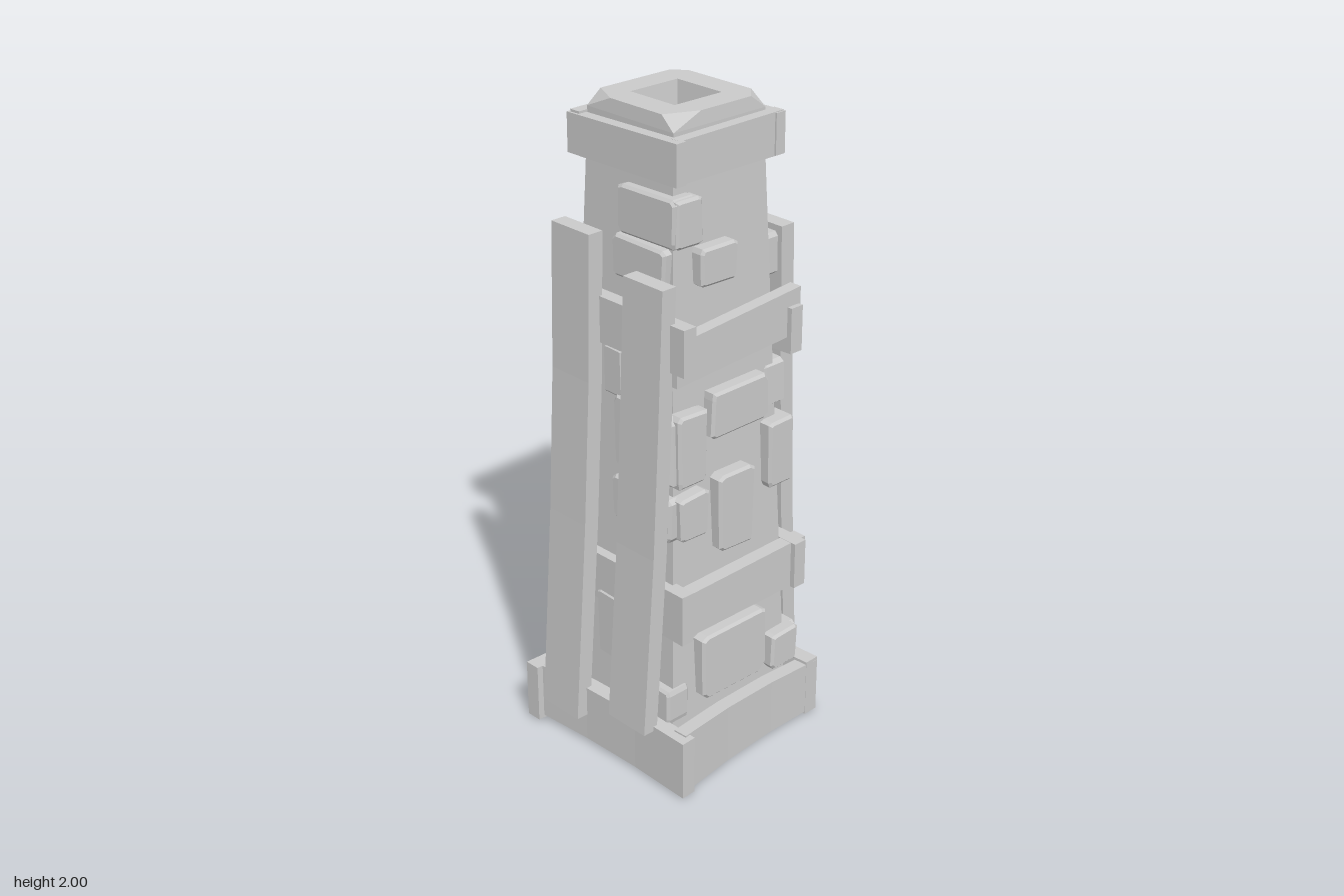
import * as THREE from 'three';

const stone = new THREE.MeshStandardMaterial({ color: 0xcacaca, flatShading: true });
stone.name = 'grey stone';

let seed = 7;
const rnd = () => (seed = (seed * 16807) % 2147483647) / 2147483647 - 0.5;

function add(parent, geo, name) {
  const g = geo.index ? geo.toNonIndexed() : geo;
  g.computeVertexNormals();
  const m = new THREE.Mesh(g, stone);
  m.name = name;
  parent.add(m);
  return m;
}

// Move every vertex of a geometry by a rule
function warp(geo, rule) {
  const p = geo.attributes.position, v = new THREE.Vector3();
  for (let i = 0; i < p.count; i++) {
    v.fromBufferAttribute(p, i);
    rule(v);
    p.setXYZ(i, v.x, v.y, v.z);
  }
  return geo;
}

// Upright plank following a few centre points, bottom to top
function upright(parent, path, w, t, name) {
  const n = path.length - 1;
  const geo = warp(new THREE.BoxGeometry(w, n, t, 1, n, 1), v => {
    const c = path[Math.round(v.y + n / 2)];
    v.set(v.x + c[0], c[1], v.z + c[2]);
  });
  add(parent, geo, name);
}

// Horizontal plank from a to b (centres), with its height at each end and an inward bow
function beam(parent, a, b, ha, hb, t, name, bow = 0) {
  const A = new THREE.Vector3(...a), B = new THREE.Vector3(...b);
  const side = new THREE.Vector3(A.z - B.z, 0, B.x - A.x).normalize();
  const geo = warp(new THREE.BoxGeometry(1, 1, t, bow ? 3 : 1), v => {
    const k = v.x + 0.5, y = v.y * (ha + (hb - ha) * k), s = v.z - bow * Math.sin(Math.PI * k);
    v.copy(A).lerp(B, k).addScaledVector(side, s);
    v.y += y;
  });
  add(parent, geo, name);
}

const bodyHalf = y => 0.24 - (y - 0.03) * 0.037;

// Bevelled, irregular block lying on a wall. u runs along the wall.
function block(parent, face, u0, u1, y0, y1, out) {
  const b = 0.008, w = (u1 - u0) / 2 - b, h = (y1 - y0) / 2 - b, c = Math.min(w, h) * 0.14;
  const pts = [[-w, -h + c], [-w + c, -h], [w - c, -h], [w, -h + c], [w, h - c], [w - c, h], [-w + c, h], [-w, h - c]]
    .map(([x, y]) => new THREE.Vector2(x + rnd() * c, y + rnd() * c));
  const geo = new THREE.ExtrudeGeometry(new THREE.Shape(pts), {
    depth: out + 0.04 - b, bevelEnabled: true, bevelSize: b, bevelThickness: b, bevelSegments: 1,
  });
  const m = add(parent, geo, 'wallStone');
  const u = (u0 + u1) / 2, y = (y0 + y1) / 2, d = bodyHalf(y) - 0.04;
  if (face === 'front') m.position.set(u, y, d);
  if (face === 'back') { m.position.set(u, y, -d); m.rotation.y = Math.PI; }
  if (face === 'right') { m.position.set(d, y, u); m.rotation.y = Math.PI / 2; }
  if (face === 'left') { m.position.set(-d, y, u); m.rotation.y = -Math.PI / 2; }
}

export function createModel() {
  const tower = new THREE.Group();
  tower.name = 'tower';

  // Tapered square shaft
  const shaft = warp(new THREE.BoxGeometry(2, 1.85, 2, 1, 3, 1), v => {
    v.y += 0.955;
    const h = bodyHalf(v.y);
    v.set(v.x * h - 0.005, v.y, v.z * h + 0.009);
  });
  add(tower, shaft, 'shaft');

  // Cap with chipped corners and a square opening that narrows downwards
  const r = 0.168, o = 0.087, depth = 0.12;
  const [p, q, s, t] = [[0.09, 0.045], [0.045, 0.1], [0.05, 0.05], [0.04, 0.035]];
  const outline = [[-r, -r + p[1]], [-r + p[0], -r], [r - q[0], -r], [r, -r + q[1]],
    [r, r - s[1]], [r - s[0], r], [-r + t[0], r], [-r, r - t[1]]];
  const capShape = new THREE.Shape(outline.map(a => new THREE.Vector2(...a)));
  capShape.holes.push(new THREE.Path([[-o, -o], [-o, o], [o, o], [o, -o]].map(a => new THREE.Vector2(...a))));
  const cap = warp(new THREE.ExtrudeGeometry(capShape, { depth, steps: 3, bevelEnabled: false }), v => {
    const inner = Math.max(Math.abs(v.x), Math.abs(v.y)) < 0.1;
    if (!inner && v.z > 0.1) return;
    const e = inner ? o - 0.015 * (1 - v.z / depth) : r + 0.003;
    v.x = Math.sign(v.x) * e;
    v.y = Math.sign(v.y) * e;
  });
  cap.rotateX(-Math.PI / 2).translate(-0.005, 1.88, 0.007);
  add(tower, cap, 'cap');

  // Base boards: front, right, back, left
  beam(tower, [-0.28, 0.105, 0.315], [0.342, 0.1, 0.285], 0.18, 0.19, 0.05, 'baseBoard', 0.012);
  beam(tower, [0.3, 0.1, 0.28], [0.268, 0.1, -0.312], 0.2, 0.17, 0.045, 'baseBoard', 0.015);
  beam(tower, [0.29, 0.1, -0.29], [-0.342, 0.1, -0.27], 0.19, 0.2, 0.05, 'baseBoard', 0.012);
  beam(tower, [-0.295, 0.1, -0.27], [-0.281, 0.1, 0.358], 0.2, 0.19, 0.05, 'baseBoard', 0.015);

  // Lower belt
  beam(tower, [-0.27, 0.56, 0.235], [0.285, 0.56, 0.235], 0.15, 0.16, 0.045, 'lowerBelt');
  beam(tower, [0.247, 0.555, 0.25], [0.24, 0.555, -0.27], 0.14, 0.15, 0.045, 'lowerBelt');
  beam(tower, [0.28, 0.555, -0.232], [-0.28, 0.555, -0.232], 0.15, 0.15, 0.045, 'lowerBelt');
  beam(tower, [-0.23, 0.57, -0.24], [-0.283, 0.53, 0.21], 0.14, 0.14, 0.045, 'lowerBelt');

  // Upper belt, slightly crooked
  beam(tower, [-0.25, 1.38, 0.215], [0.275, 1.385, 0.22], 0.14, 0.14, 0.045, 'upperBelt');
  beam(tower, [0.22, 1.335, 0.235], [0.215, 1.365, -0.25], 0.13, 0.14, 0.04, 'upperBelt');
  beam(tower, [0.252, 1.315, -0.22], [-0.275, 1.29, -0.22], 0.14, 0.14, 0.045, 'upperBelt');
  beam(tower, [-0.225, 1.34, -0.235], [-0.22, 1.39, 0.24], 0.14, 0.14, 0.04, 'upperBelt');

  // Collar
  beam(tower, [-0.215, 1.885, 0.2], [0.215, 1.89, 0.195], 0.115, 0.12, 0.035, 'collar');
  beam(tower, [0.187, 1.89, 0.19], [0.182, 1.89, -0.2], 0.12, 0.125, 0.035, 'collar');
  beam(tower, [0.205, 1.89, -0.185], [-0.23, 1.89, -0.18], 0.12, 0.11, 0.035, 'collar');
  beam(tower, [-0.2, 1.89, -0.175], [-0.19, 1.89, 0.21], 0.12, 0.12, 0.035, 'collar');

  // Leaning buttress planks, two in front and two behind
  upright(tower, [[-0.148, 0.1, 0.333], [-0.148, 0.75, 0.285], [-0.148, 1.2, 0.26], [-0.148, 1.64, 0.248]], 0.157, 0.05, 'frontPlank');
  upright(tower, [[0.14, 0.18, 0.322], [0.14, 0.75, 0.28], [0.142, 1.15, 0.262], [0.143, 1.56, 0.245]], 0.156, 0.05, 'frontPlank');
  upright(tower, [[0.085, 0.09, -0.325], [0.086, 0.7, -0.29], [0.088, 1.2, -0.27], [0.092, 1.6, -0.258]], 0.16, 0.05, 'backPlank');
  upright(tower, [[-0.134, 0.1, -0.335], [-0.133, 0.7, -0.3], [-0.132, 1.2, -0.28], [-0.13, 1.58, -0.268]], 0.157, 0.05, 'backPlank');

  // Stones set into each wall: along-wall range, then height range
  const walls = {
    front: [[-0.02, 0.205, 1.65, 1.79], [-0.04, 0.17, 1.52, 1.64], [-0.07, 0.01, 1.16, 1.31], [-0.025, 0.22, 0.95, 1.17],
      [-0.025, 0.22, 0.78, 0.92], [-0.08, 0.04, 0.3, 0.52], [0.04, 0.24, 0.19, 0.3]],
    right: [[-0.02, 0.12, 1.52, 1.63], [-0.135, 0.09, 1.06, 1.2], [-0.07, 0.07, 0.69, 0.94], [-0.11, 0.15, 0.23, 0.45],
      [-0.235, -0.135, 0.83, 1.04], [-0.25, -0.14, 0.21, 0.33], [0.11, 0.22, 0.95, 1.17], [0.11, 0.22, 0.78, 0.92],
      [0.11, 0.205, 1.65, 1.79]],
    back: [[-0.07, 0.08, 1.68, 1.8], [0.02, 0.18, 1.46, 1.59], [-0.04, 0.2, 1.07, 1.21], [0.05, 0.22, 0.83, 1.03],
      [-0.1, 0.1, 0.65, 0.8], [0.06, 0.24, 0.21, 0.33], [-0.22, -0.04, 0.25, 0.44]],
    left: [[-0.12, 0.01, 1.48, 1.63], [-0.06, 0.12, 1.04, 1.2], [-0.06, 0.06, 0.68, 0.92], [-0.2, -0.1, 0.68, 0.82],
      [-0.1, 0.13, 0.24, 0.44], [0.11, 0.21, 0.85, 1.03]],
  };
  for (const [face, list] of Object.entries(walls)) {
    for (const [u0, u1, y0, y1] of list) block(tower, face, u0, u1, y0, y1, face === 'left' || face === 'right' ? 0.034 : 0.036);
  }

  return tower;
}
